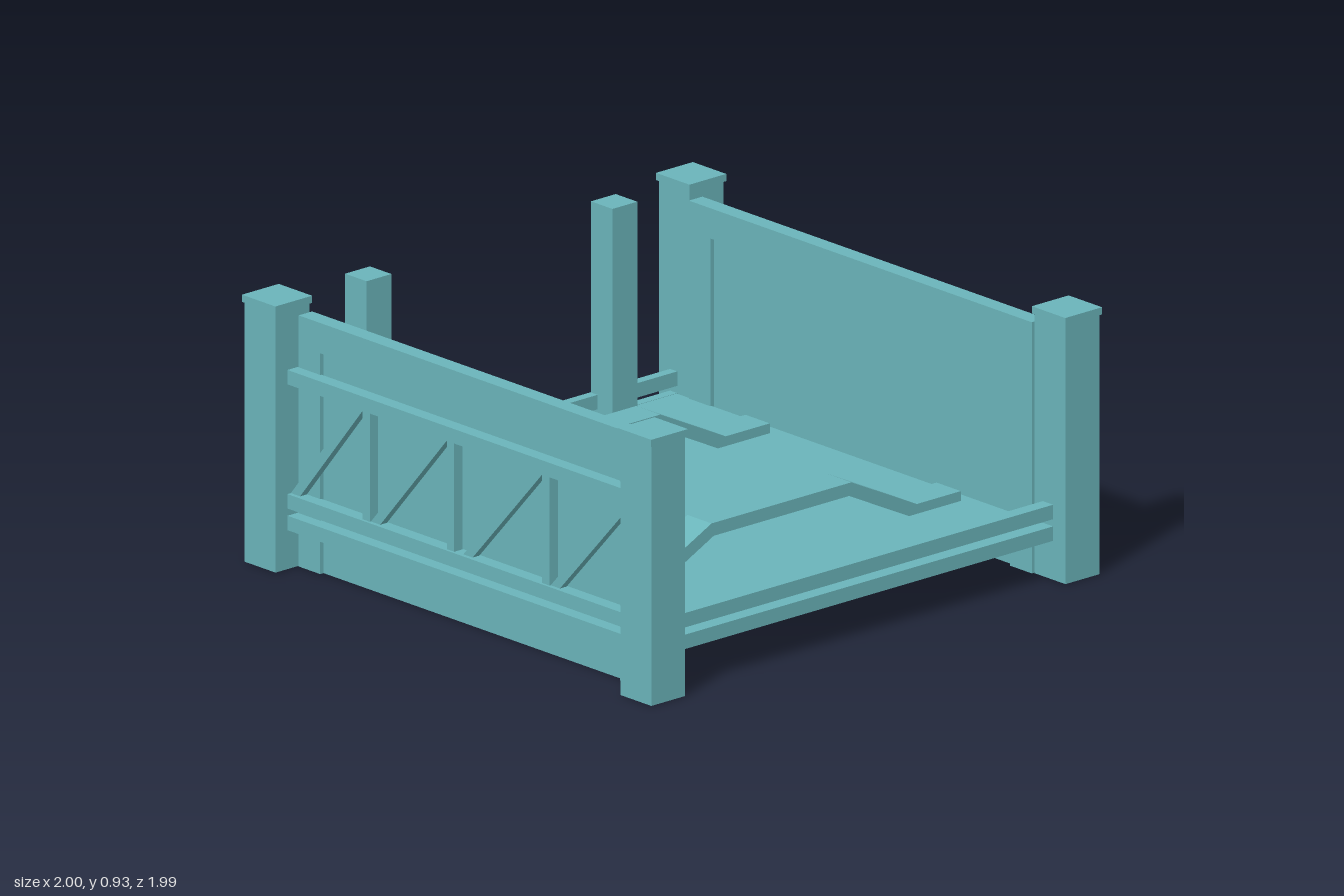
import * as THREE from 'three';

const material = new THREE.MeshStandardMaterial({ color: 0x6ab4ba, flatShading: true });
const hollow = new THREE.MeshStandardMaterial({ color: 0x6ab4ba, flatShading: true, side: THREE.DoubleSide });

function add(parent, name, geometry, mat = material) {
  const mesh = new THREE.Mesh(geometry, mat);
  mesh.name = name;
  parent.add(mesh);
  return mesh;
}

// Box given by its low and high limits on each axis
function block(parent, name, [x0, x1], [y0, y1], [z0, z1]) {
  const mesh = add(parent, name, new THREE.BoxGeometry(x1 - x0, y1 - y0, z1 - z0));
  mesh.position.set((x0 + x1) / 2, (y0 + y1) / 2, (z0 + z1) / 2);
  return mesh;
}

function outline(points) {
  return new THREE.Shape(points.map(([x, y]) => new THREE.Vector2(x, y)));
}

const extrude = (points, depth) =>
  new THREE.ExtrudeGeometry(outline(points), { depth, bevelEnabled: false });

// Hollow corner post, open at the foot, with a flat cap
function cornerPost(sx, sz) {
  const post = new THREE.Group();
  post.name = 'cornerPost';
  const shaft = new THREE.BoxGeometry(0.15, 0.9, 0.15);
  const index = Array.from(shaft.index.array);
  index.splice(18, 6); // drop the bottom face
  shaft.setIndex(index);
  shaft.clearGroups();
  add(post, 'postShaft', shaft, hollow).position.y = 0.45;
  add(post, 'postCap', new THREE.BoxGeometry(0.163, 0.025, 0.163)).position.y = 0.9125;
  post.position.set(sx * 0.918, 0, sz * 0.915);
  return post;
}

// Side wall at x = +/-; s is the side
function sideWall(s) {
  const wall = new THREE.Group();
  wall.name = s > 0 ? 'leftWall' : 'rightWall';
  const xs = (a, b) => (s > 0 ? [a, b] : [-b, -a]);

  // Frame open at the bottom, with a thinner panel inside it
  const frame = add(wall, 'wallFrame', extrude([
    [-0.835, 0], [-0.73, 0], [-0.73, 0.765], [0.73, 0.765],
    [0.73, 0], [0.835, 0], [0.835, 0.87], [-0.835, 0.87],
  ], 0.06));
  frame.rotation.y = -Math.PI / 2;
  frame.position.x = s > 0 ? 0.895 : -0.835;
  block(wall, 'wallPanel', xs(0.85, 0.88), [0, 0.765], [-0.73, 0.73]);

  // Long rails
  for (const [y0, y1] of [[0.64, 0.69], [0.21, 0.26], [0.135, 0.185]])
    block(wall, 'sideRail', xs(0.89, 0.94), [y0, y1], [-0.845, 0.845]);

  // Truss uprights
  for (const z of [0.407, -0.057, -0.468])
    block(wall, 'trussUpright', xs(0.893, 0.93), [0.26, 0.64], [z - 0.018, z + 0.018]);

  // Truss diagonals, high end toward the front
  for (const [top, bottom] of [[0.82, 0.425], [0.39, 0], [-0.075, -0.45], [-0.485, -0.84]]) {
    const brace = add(wall, 'trussDiagonal', extrude([
      [top, 0.64], [bottom + 0.045, 0.26], [bottom, 0.26], [top - 0.045, 0.64],
    ].reverse(), 0.03));
    brace.rotation.y = -Math.PI / 2;
    brace.position.x = s > 0 ? 0.925 : -0.895;
  }
  return wall;
}

export function createModel() {
  const model = new THREE.Group();
  model.name = 'platform';

  for (const sx of [-1, 1]) {
    for (const sz of [-1, 1]) model.add(cornerPost(sx, sz));
    model.add(sideWall(sx));
  }

  // Thin deck with edge rails at front and back
  block(model, 'deck', [-0.84, 0.84], [0.177, 0.184], [-0.9, 0.89]);
  for (const [y0, y1] of [[0.21, 0.26], [0.135, 0.185]]) {
    block(model, 'frontRail', [-0.845, 0.845], [y0, y1], [0.88, 0.93]);
    block(model, 'backRail', [-0.845, 0.845], [y0, y1], [-0.935, -0.9]);
  }

  // Short square posts at the back
  for (const s of [-1, 1])
    block(model, 'backPost', [s * 0.545 - 0.055, s * 0.545 + 0.055], [0.165, 0.922], [-0.933, -0.828]);

  // Raised cross bars, cranked at both ends
  const top = [[0.795, 0.218], [0.6, 0.218], [0.31, 0.36]];
  const under = [[0.3, 0.315], [0.59, 0.172], [0.795, 0.172]];
  const half = [...top].reverse().map(([x, y]) => [-x, y]);
  const halfUnder = [...under].reverse().map(([x, y]) => [-x, y]);
  for (const z of [-0.515, 0.415])
    add(model, 'crossBar', extrude([...top, ...half, ...halfUnder, ...under], 0.118)).position.z = z;

  return model;
}
